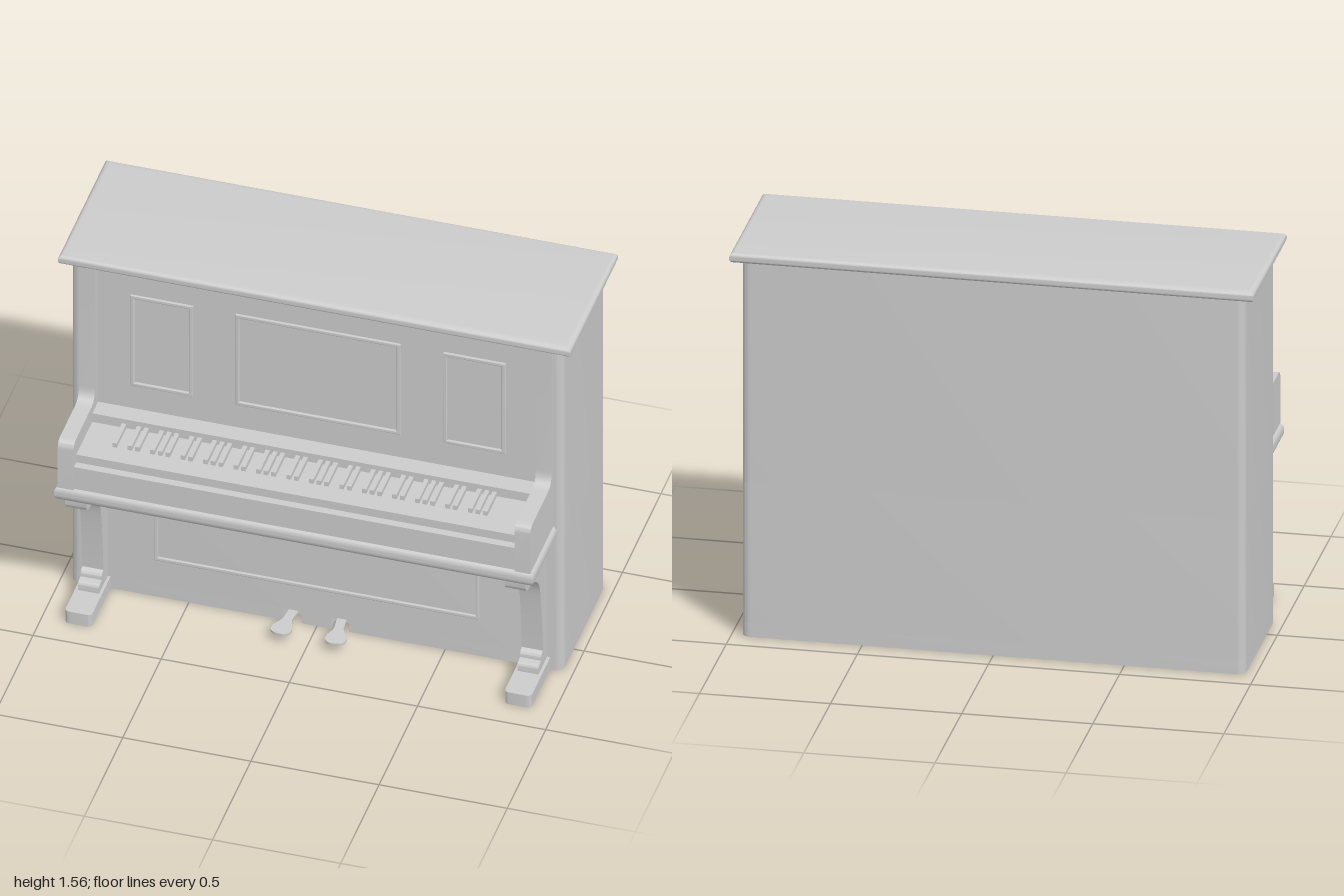
import * as THREE from 'three';
import { toCreasedNormals } from 'three/addons/utils/BufferGeometryUtils.js';

const material = new THREE.MeshStandardMaterial({ color: 0xcccccc });

export function createModel() {
  const model = new THREE.Group();

  const add = (name, geometry, x = 0, y = 0, z = 0) => {
    const mesh = new THREE.Mesh(geometry, material);
    mesh.name = name;
    mesh.position.set(x, y, z);
    model.add(mesh);
    return mesh;
  };
  const extrude = (shape, depth, options = {}) =>
    new THREE.ExtrudeGeometry(shape, { depth, bevelEnabled: false, curveSegments: 8, ...options });
  const crease = (geometry) => toCreasedNormals(geometry, 0.6);

  // Box given by its limits
  const box = (name, x0, x1, y0, y1, z0, z1) =>
    add(name, new THREE.BoxGeometry(x1 - x0, y1 - y0, z1 - z0), (x0 + x1) / 2, (y0 + y1) / 2, (z0 + z1) / 2);

  // Plan shape (x, z) raised from y0 to y1
  const plan = (name, shape, y0, y1) =>
    add(name, crease(extrude(shape, y1 - y0).rotateX(Math.PI / 2)), 0, y1, 0);

  // Side profile (z, y) spanning x0 to x1
  const profile = (name, shape, x0, x1) =>
    add(name, crease(extrude(shape, x1 - x0).rotateY(-Math.PI / 2)), x1, 0, 0);

  // Slab with a rounded rim
  const slab = (name, x, y0, y1, z0, z1, b) => {
    const t = (y1 - y0) / 2 - 0.004;
    const s = new THREE.Shape();
    s.moveTo(-x + b, z0 + b).lineTo(x - b, z0 + b).lineTo(x - b, z1 - b).lineTo(-x + b, z1 - b).closePath();
    const g = extrude(s, 0.008, { bevelEnabled: true, bevelSize: b, bevelThickness: t, bevelSegments: 5 });
    add(name, crease(g.rotateX(Math.PI / 2).center()), 0, (y0 + y1) / 2, (z0 + z1) / 2);
  };

  // Raised rectangular moulding on a front face
  const frame = (name, x0, x1, y0, y1, z) => {
    const rect = (Path, i) => new Path()
      .moveTo(x0 + i, y0 + i).lineTo(x1 - i, y0 + i).lineTo(x1 - i, y1 - i).lineTo(x0 + i, y1 - i).closePath();
    const s = rect(THREE.Shape, 0.005);
    s.holes.push(rect(THREE.Path, 0.011));
    add(name, crease(extrude(s, 0.004,
      { bevelEnabled: true, bevelSize: 0.005, bevelThickness: 0.005, bevelSegments: 3 })), 0, 0, z);
  };

  // Case: rounded plan outline, with recesses [x0, x1, z] cut into the front
  const caseOutline = (recesses = []) => {
    const w = 0.96, f = 0.14, k = -0.41, r = 0.035;
    const s = new THREE.Shape();
    s.moveTo(-w + r, f);
    for (const [a, b, z] of recesses) s.lineTo(a, f).lineTo(a, z).lineTo(b, z).lineTo(b, f);
    s.lineTo(w - r, f).quadraticCurveTo(w, f, w, f - r);
    s.lineTo(w, k + r).quadraticCurveTo(w, k, w - r, k);
    s.lineTo(-w + r, k).quadraticCurveTo(-w, k, -w, k + r);
    s.lineTo(-w, f - r).quadraticCurveTo(-w, f, -w + r, f);
    return s;
  };
  plan('caseBase', caseOutline([[-0.13, -0.06, 0.09], [0.055, 0.125, 0.09]]), 0, 0.055);
  plan('lowerCase', caseOutline(), 0.055, 0.62);
  plan('upperCase', caseOutline([[-0.862, 0.862, 0.12]]), 0.62, 1.52);
  slab('lid', 1, 1.512, 1.556, -0.445, 0.177, 0.026);

  // Panel mouldings
  frame('lowerPanelMoulding', -0.635, 0.635, 0.175, 0.49, 0.14);
  frame('musicPanelMoulding', -0.322, 0.322, 0.965, 1.392, 0.12);
  for (const s of [-1, 1])
    frame('sidePanelMoulding', s * 0.61 - 0.122, s * 0.61 + 0.122, 0.965, 1.392, 0.12);

  // Keyboard shelf, apron, keys and fallboard
  slab('keyShelf', 0.935, 0.61, 0.682, 0.1, 0.446, 0.028);
  box('keySlip', -0.87, 0.87, 0.675, 0.779, 0.1, 0.434);
  box('whiteKeys', -0.864, 0.864, 0.77, 0.815, 0.1, 0.403);
  box('fallboard', -0.864, 0.864, 0.8, 0.855, 0.1, 0.195);

  // Black keys sit on white key boundaries, starting from the low A
  const pitch = 0.0295;
  for (let i = 1; i <= 50; i++) {
    if (![1, 3, 4, 6, 0].includes(i % 7)) continue;
    const x = -0.765 + i * pitch;
    box('blackKey', x - 0.0085, x + 0.0085, 0.81, 0.835, 0.19, 0.32);
  }

  // Arm with the narrow pilaster rising behind it
  const arm = new THREE.Shape();
  arm.moveTo(0.1, 0.67).lineTo(0.438, 0.67).lineTo(0.438, 0.855)
    .quadraticCurveTo(0.438, 0.89, 0.403, 0.89).lineTo(0.215, 0.89)
    .quadraticCurveTo(0.16, 0.89, 0.16, 0.95).lineTo(0.16, 1.515).lineTo(0.1, 1.515).closePath();

  // Scrolled leg with a stepped base
  const leg = new THREE.Shape();
  leg.moveTo(0.12, 0.62).lineTo(0.42, 0.62).lineTo(0.42, 0.585)
    .quadraticCurveTo(0.415, 0.56, 0.38, 0.555)
    .bezierCurveTo(0.29, 0.54, 0.24, 0.49, 0.228, 0.42)
    .quadraticCurveTo(0.21, 0.32, 0.196, 0.125)
    .lineTo(0.212, 0.12).quadraticCurveTo(0.22, 0.115, 0.22, 0.095)
    .lineTo(0.24, 0.092).quadraticCurveTo(0.254, 0.09, 0.254, 0.075)
    .lineTo(0.254, 0.05).lineTo(0.12, 0.05).closePath();

  for (const s of [-1, 1]) {
    const span = (a, b) => (s > 0 ? [a, b] : [-b, -a]);
    profile('arm', arm, ...span(0.86, 0.922));
    profile('leg', leg, ...span(0.816, 0.898));

    const [a, b] = span(0.805, 0.91), r = 0.02;
    const foot = new THREE.Shape();
    foot.moveTo(a, 0.1).lineTo(b, 0.1).lineTo(b, 0.39 - r).quadraticCurveTo(b, 0.39, b - r, 0.39)
      .lineTo(a + r, 0.39).quadraticCurveTo(a, 0.39, a, 0.39 - r).closePath();
    plan('foot', foot, 0, 0.055);

    // Pedal: slim stem widening to a rounded toe that leans outward
    const pedal = new THREE.Shape();
    pedal.moveTo(-0.018, 0).lineTo(0.018, 0).lineTo(0.018, 0.1)
      .bezierCurveTo(0.025, 0.13, 0.04, 0.14, 0.04, 0.165)
      .quadraticCurveTo(0.038, 0.195, 0, 0.195)
      .quadraticCurveTo(-0.038, 0.195, -0.04, 0.165)
      .bezierCurveTo(-0.04, 0.14, -0.025, 0.13, -0.018, 0.1).closePath();
    const mesh = plan('pedal', pedal, 0.036, 0.047);
    mesh.position.x = s * 0.09;
    mesh.position.z = 0.088;
    mesh.rotation.y = s * 0.1;
  }

  return model;
}
